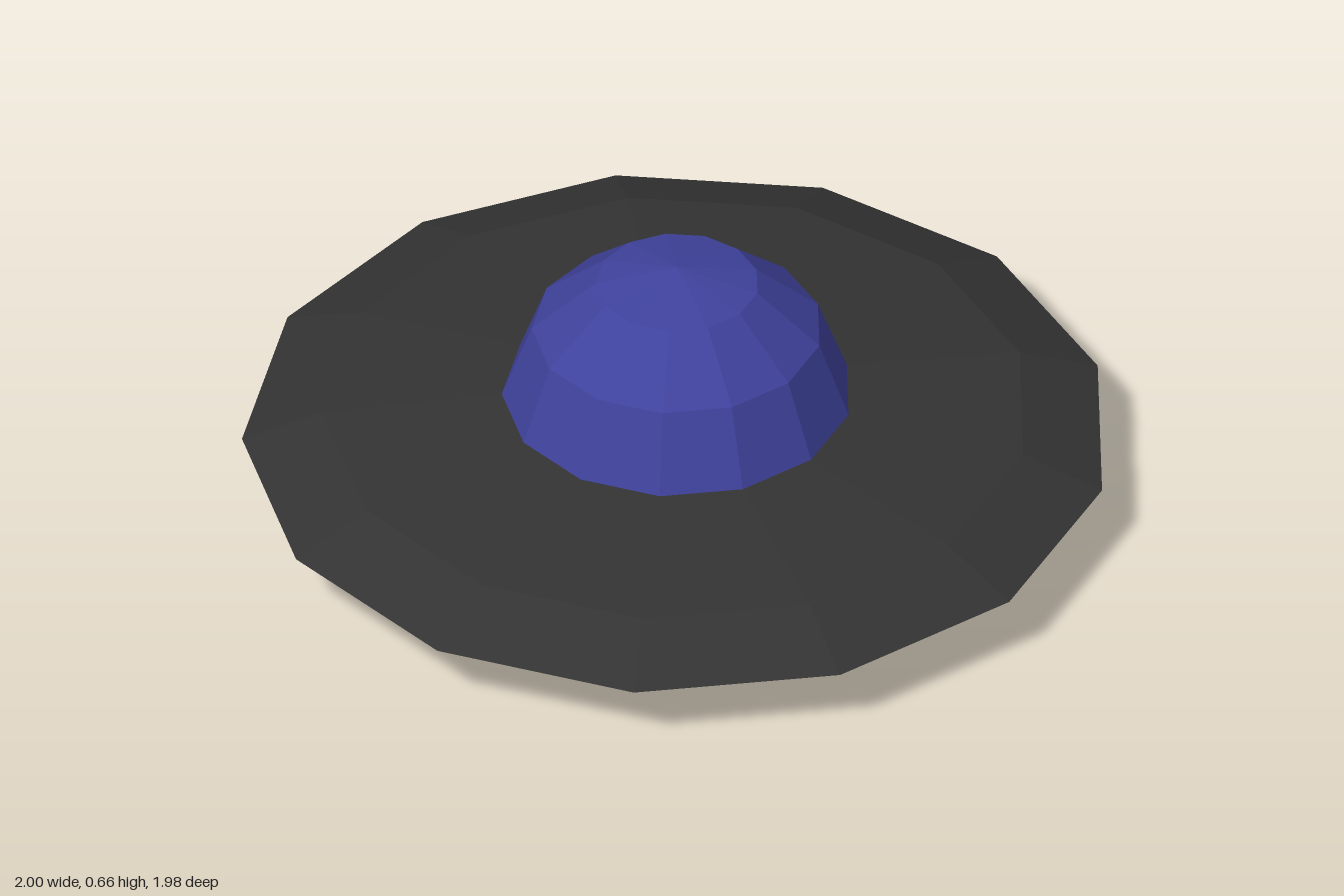
import * as THREE from 'three';

const SIDES = 13;

// Faceted solid of revolution, with one corner pointing straight back
function turned(name, color, profile) {
  const points = profile.map(([r, y]) => new THREE.Vector2(r, y));
  const geometry = new THREE.LatheGeometry(points, SIDES, Math.PI);
  const material = new THREE.MeshStandardMaterial({ color, flatShading: true });
  const mesh = new THREE.Mesh(geometry, material);
  mesh.name = name;
  return mesh;
}

export function createModel() {
  const group = new THREE.Group();
  group.name = 'flyingSaucer';

  // Shallow disc hull, from the bottom point round the rim to the dome seat
  const hull = turned('hull', 0x333333, [
    [0, 0], [0.62, 0.05], [0.84, 0.108], [1.007, 0.184], [0.82, 0.258], [0.406, 0.304],
  ]);

  // Cockpit dome
  const dome = turned('dome', 0x3f429c, [
    [0.406, 0.304], [0.337, 0.492], [0.19, 0.62], [0, 0.664],
  ]);

  group.add(hull, dome);
  // An odd number of sides reaches further back than forward, so recentre
  for (const part of group.children) part.position.z = 0.0146;
  return group;
}
